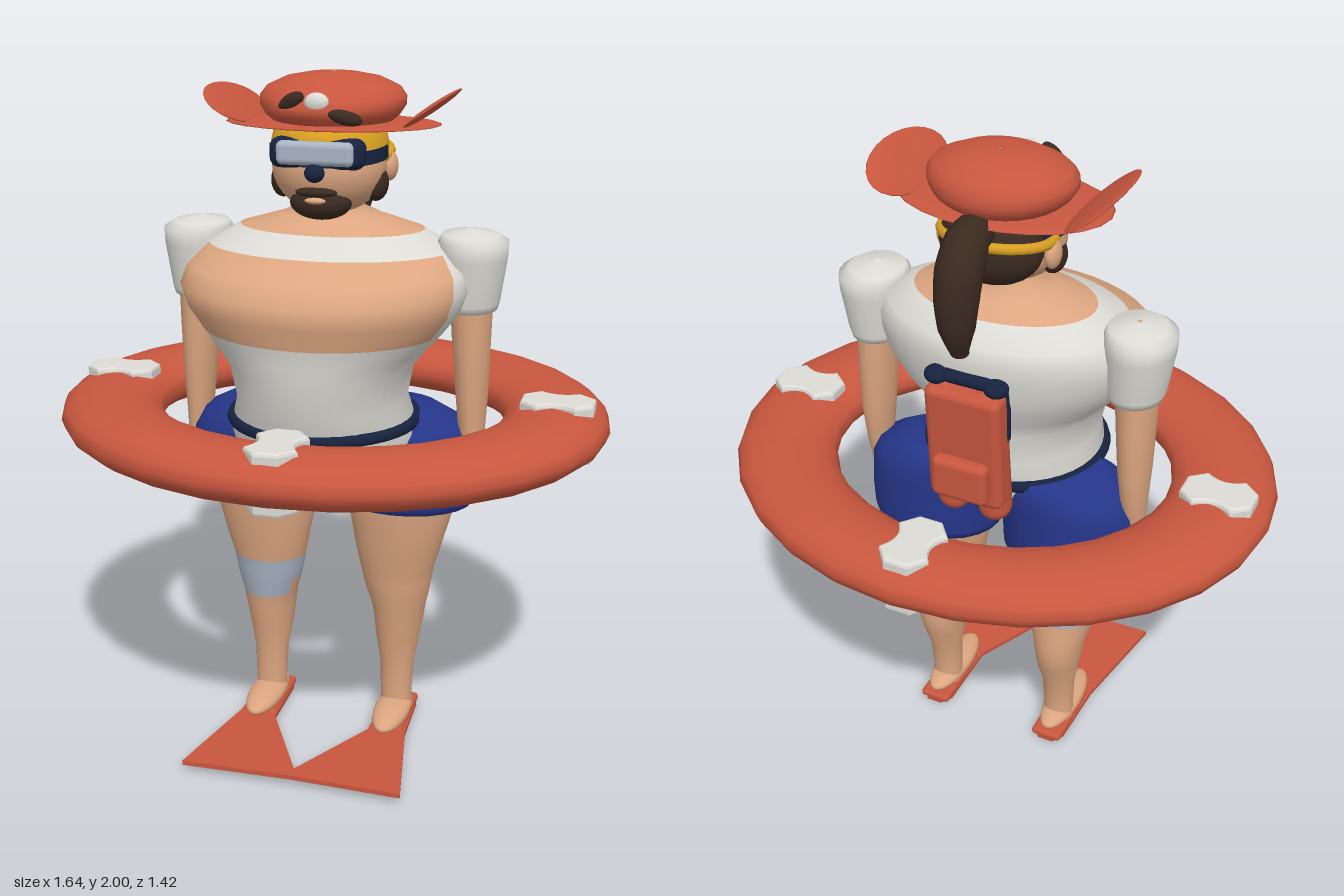
import * as THREE from 'three';
import { RoundedBoxGeometry } from 'three/addons/geometries/RoundedBoxGeometry.js';

const mat = (name, color, side = THREE.FrontSide) => {
  const m = new THREE.MeshStandardMaterial({ color, side });
  m.name = name;
  return m;
};

// Smooth body from elliptical sections [y, cx, rx, cz, rz], bottom to top.
// pick(y, angle) returns the material index of a face; angle 0 is the front.
function loft(sections, segs = 24, pick = () => 0, count = 1) {
  const pos = [], faces = Array.from({ length: count }, () => []);
  for (const [y, cx, rx, cz, rz] of sections)
    for (let j = 0; j < segs; j++) {
      const a = (j / segs) * Math.PI * 2;
      pos.push(cx + rx * Math.sin(a), y, cz + rz * Math.cos(a));
    }
  for (let i = 0; i < sections.length - 1; i++)
    for (let j = 0; j < segs; j++) {
      const k = (j + 1) % segs, a = i * segs + j, b = i * segs + k;
      let ang = ((j + 0.5) / segs) * 360;
      if (ang > 180) ang -= 360;
      const y = (sections[i][0] + sections[i + 1][0]) / 2;
      faces[pick(y, Math.abs(ang))].push(a, b, b + segs, a, b + segs, a + segs);
    }
  const g = new THREE.BufferGeometry();
  g.setAttribute('position', new THREE.Float32BufferAttribute(pos, 3));
  g.setIndex(faces.flat());
  let start = 0;
  faces.forEach((f, n) => { g.addGroup(start, f.length, n); start += f.length; });
  g.computeVertexNormals();
  return g;
}

export function createModel() {
  const root = new THREE.Group();
  const red = mat('coral red', 0xc8573f), skin = mat('skin', 0xdca680), white = mat('off white', 0xdcdbd5);
  const blue = mat('blue', 0x263689), navy = mat('navy', 0x17233f), brown = mat('dark brown', 0x3a2a20);
  const yellow = mat('yellow', 0xd9a022), lens = mat('grey blue', 0xa9b4c4);

  const add = (name, geo, m, p = [0, 0, 0], r = [0, 0, 0], s = [1, 1, 1]) => {
    const mesh = new THREE.Mesh(geo, m);
    mesh.name = name;
    mesh.position.set(...p);
    mesh.rotation.set(...r);
    mesh.scale.set(...s);
    root.add(mesh);
    return mesh;
  };
  const ball = (name, m, p, s, r) => add(name, new THREE.SphereGeometry(1, 24, 16), m, p, r, s);

  // Torso: blue underside, white shirt, bare chest band and neckline
  add('torso', loft([
    [0.775, 0, 0.01, 0.09, 0.01], [0.80, 0, 0.11, 0.09, 0.10], [0.85, 0, 0.20, 0.09, 0.17],
    [0.91, 0, 0.255, 0.09, 0.215], [1.0, 0, 0.275, 0.09, 0.255], [1.1, 0, 0.245, 0.11, 0.27],
    [1.2, 0, 0.265, 0.115, 0.28], [1.25, 0, 0.305, 0.11, 0.29], [1.30, 0, 0.35, 0.1, 0.305],
    [1.36, 0, 0.395, 0.1, 0.322], [1.42, 0, 0.415, 0.1, 0.33], [1.47, 0, 0.405, 0.07, 0.305],
    [1.52, 0, 0.36, 0.025, 0.25], [1.57, 0, 0.27, 0.01, 0.175], [1.605, 0, 0.15, 0.01, 0.115],
    [1.63, 0, 0.09, 0.01, 0.085], [1.7, 0, 0.085, 0.01, 0.08],
  ], 40, (y, a) => {
    if (y < 0.91) return 2;
    if (y > 1.57 || (y > 1.3 && y < 1.52 && a < 72)) return 1;
    return 0;
  }, 3), [white, skin, blue]);
  add('belt', new THREE.TorusGeometry(1, 0.06, 8, 40), navy, [0, 1.03, 0.095], [Math.PI / 2, 0, 0], [0.268, 0.262, 0.3]);

  for (const s of [-1, 1]) {
    // Sleeve, arm and tucked hand
    add('sleeve', loft([
      [1.35, s * 0.405, 0.02, 0, 0.02], [1.35, s * 0.405, 0.077, 0, 0.09], [1.37, s * 0.405, 0.084, 0, 0.095],
      [1.5, s * 0.41, 0.098, 0, 0.115], [1.545, s * 0.41, 0.1, 0, 0.115], [1.565, s * 0.4, 0.08, 0, 0.09],
      [1.578, s * 0.4, 0.01, 0, 0.01],
    ], 20), white);
    add('arm', loft([
      [0.80, s * 0.435, 0.005, 0.02, 0.005], [0.82, s * 0.435, 0.015, 0.02, 0.018], [0.88, s * 0.43, 0.022, 0.01, 0.035],
      [0.98, s * 0.42, 0.038, 0, 0.052], [1.1, s * 0.417, 0.047, -0.003, 0.07], [1.25, s * 0.412, 0.055, 0, 0.077],
      [1.4, s * 0.408, 0.062, 0, 0.08],
    ], 18), skin);

    // Leg, with a knee band on one side
    add('leg', loft([
      [0.04, s * 0.205, 0.05, -0.01, 0.05], [0.09, s * 0.205, 0.048, -0.006, 0.045], [0.2, s * 0.205, 0.052, -0.012, 0.053],
      [0.29, s * 0.205, 0.068, -0.02, 0.078], [0.35, s * 0.207, 0.076, -0.022, 0.09], [0.4, s * 0.207, 0.084, -0.018, 0.093],
      [0.45, s * 0.205, 0.098, -0.01, 0.095], [0.49, s * 0.204, 0.106, -0.006, 0.096], [0.53, s * 0.203, 0.113, -0.002, 0.097],
      [0.6, s * 0.206, 0.13, 0.003, 0.107], [0.75, s * 0.213, 0.165, -0.008, 0.142], [0.86, s * 0.213, 0.17, -0.008, 0.15],
    ], 24, (y, a) => (s < 0 && y < 0.53 && y > (a < 55 ? 0.4 : a < 100 ? 0.45 : 0.49) ? 1 : 0), 2), [skin, lens]);

    // Shorts leg with rolled hem
    add('shorts', loft([
      [0.81, s * 0.222, 0.17, 0, 0.14], [0.765, s * 0.222, 0.195, 0, 0.155], [0.757, s * 0.222, 0.205, 0, 0.165],
      [0.78, s * 0.222, 0.208, 0, 0.17], [0.86, s * 0.222, 0.212, 0, 0.17], [0.94, s * 0.216, 0.215, 0, 0.165],
      [1.0, s * 0.2, 0.2, -0.01, 0.155], [1.04, s * 0.17, 0.15, -0.01, 0.13], [1.045, s * 0.15, 0.01, 0, 0.01],
    ], 24), blue);

    // Bare foot on a flipper
    ball('foot', skin, [s * 0.205, 0.055, 0.04], [0.055, 0.032, 0.15]);
    const sole = new THREE.Shape([[0.155, -0.08], [0.18, -0.115], [0.23, -0.115], [0.255, -0.08], [0.265, 0.13],
      [0.33, 0.48], [0.165, 0.475], [0, 0.47], [0, 0.43], [0.15, 0.14]].map(([x, z]) => new THREE.Vector2(s * x, z)));
    const flipper = new THREE.ExtrudeGeometry(sole, { depth: 0.014, bevelEnabled: false });
    add('flipper', flipper, red, [0, 0.022, 0], [Math.PI / 2 - 0.035, 0, 0]);
    add('flipperHeel', new RoundedBoxGeometry(0.1, 0.025, 0.24, 3, 0.012), red, [s * 0.205, 0.022, 0.005]);

    // Side flaps of the hat
    ball('hatFlap', red, [s * 0.285, 1.907, 0], [0.088, 0.01, 0.19], [0, 0, s * 0.62]);
    // Ears and sideburns
    ball('ear', skin, [s * 0.16, 1.74, -0.03], [0.022, 0.042, 0.035]);
    ball('sideburn', brown, [s * 0.135, 1.7, 0.035], [0.035, 0.05, 0.048]);
  }

  // Swim ring
  add('swimRing', new THREE.TorusGeometry(0.665, 0.155, 16, 28), red, [0, 1.01, 0], [Math.PI / 2, 0, 0], [1, 0.866, 0.5]);
  const tie = new THREE.Shape();
  tie.moveTo(-0.03, -0.095);
  tie.lineTo(0.03, -0.095);
  tie.lineTo(0.063, -0.055);
  tie.quadraticCurveTo(0.025, 0, 0.063, 0.055);
  tie.lineTo(0.03, 0.095);
  tie.lineTo(-0.03, 0.095);
  tie.lineTo(-0.063, 0.055);
  tie.quadraticCurveTo(-0.025, 0, -0.063, -0.055);
  const patchGeo = new THREE.ExtrudeGeometry(tie, { depth: 0.025, bevelSize: 0.01, bevelThickness: 0.01, bevelSegments: 2, curveSegments: 8 });
  patchGeo.translate(0, 0, -0.0125);
  for (const [x, z, turn] of [[0, 0.555, 0], [0, -0.56, 0], [0.668, 0, Math.PI / 2], [-0.668, 0, Math.PI / 2]])
    for (const y of [1.077, 0.943]) add('ringPatch', patchGeo, white, [x, y, z], [Math.PI / 2, 0, turn]);

  // Head, hair and beard
  ball('head', skin, [0, 1.745, 0.04], [0.162, 0.135, 0.145]);
  ball('hair', brown, [0, 1.76, -0.075], [0.15, 0.115, 0.1]);
  ball('beard', brown, [0, 1.655, 0.125], [0.088, 0.048, 0.062]);
  ball('moustache', brown, [0, 1.69, 0.172], [0.06, 0.014, 0.02]);
  ball('lip', skin, [0, 1.668, 0.184], [0.03, 0.009, 0.012]);
  ball('nose', navy, [0, 1.745, 0.19], [0.028, 0.026, 0.025]);
  const tail = [[-0.14, 1.82, 0.045], [-0.2, 1.835, 0.06], [-0.255, 1.78, 0.065], [-0.28, 1.7, 0.06], [-0.283, 1.6, 0.05], [-0.27, 1.525, 0.025]];
  const path = new THREE.CatmullRomCurve3(tail.map(([z, y]) => new THREE.Vector3(0, y, z)));
  const tailGeo = new THREE.TubeGeometry(path, 15, 1, 12);
  const tp = tailGeo.attributes.position;
  for (let i = 0; i < tp.count; i++) {
    const t = Math.floor(i / 13) / 15, c = path.getPointAt(t);
    const f = t * 5, n = Math.min(4, Math.floor(f)), r = THREE.MathUtils.lerp(tail[n][2], tail[n + 1][2], f - n);
    const v = new THREE.Vector3().fromBufferAttribute(tp, i).sub(c).multiplyScalar(r).add(c);
    tp.setXYZ(i, v.x, v.y, v.z);
  }
  tailGeo.computeVertexNormals();
  add('ponytail', tailGeo, brown);
  ball('ponytailTip', brown, [0, 1.525, -0.27], [0.026, 0.012, 0.026]);

  // Goggles with strap and headband
  add('goggleFrame', new RoundedBoxGeometry(0.27, 0.085, 0.07, 3, 0.03), navy, [0, 1.795, 0.155]);
  add('goggleLens', new RoundedBoxGeometry(0.22, 0.066, 0.04, 3, 0.018), lens, [0, 1.797, 0.182]);
  add('goggleStrap', new THREE.CylinderGeometry(1, 1, 0.04, 32, 1, true), navy, [0, 1.79, 0.045], [0.08, 0, 0], [0.168, 1, 0.145]);
  add('headband', loft([[1.805, 0, 0.168, 0.03, 0.158], [1.84, 0, 0.16, 0.03, 0.155], [1.86, 0, 0.15, 0.02, 0.14]], 32), yellow);
  add('backStrap', new THREE.TorusGeometry(1, 0.09, 8, 32), yellow, [0, 1.775, -0.035], [Math.PI / 2 + 0.15, 0, 0], [0.157, 0.14, 0.17]);

  // Hat: brim, band, crown and face details
  ball('hatBrim', red, [0, 1.86, 0], [0.31, 0.011, 0.2]);
  add('hatCrown', loft([
    [1.86, 0, 0.16, 0, 0.15], [1.885, 0, 0.19, 0, 0.18], [1.91, 0, 0.207, 0, 0.185], [1.935, 0, 0.208, -0.005, 0.175],
    [1.96, 0, 0.19, -0.01, 0.155], [1.985, 0, 0.135, -0.012, 0.115], [1.997, 0, 0.07, -0.012, 0.06], [2.0, 0, 0.005, -0.012, 0.005],
  ], 28), red);
  ball('hatButton', white, [0, 1.93, 0.165], [0.035, 0.028, 0.02]);
  ball('hatSpot', brown, [-0.075, 1.93, 0.155], [0.045, 0.022, 0.02], [0, -0.35, 0.5]);
  ball('hatSpot', brown, [0.08, 1.893, 0.165], [0.048, 0.02, 0.02], [0, 0.35, -0.25]);

  // Backpack with two tanks, pocket and navy fittings
  for (const s of [-1, 1]) {
    add('tank', new THREE.CapsuleGeometry(0.05, 0.37, 6, 16), red, [s * 0.065, 1.175, -0.21], [-0.1, 0, 0]);
    ball('tankCap', navy, [s * 0.09, 1.415, -0.235], [0.036, 0.026, 0.034]);
    add('packStrap', new RoundedBoxGeometry(0.035, 0.2, 0.03, 2, 0.01), navy, [s * 0.1, 1.33, -0.205]);
  }
  add('packBar', new THREE.CapsuleGeometry(0.02, 0.12, 4, 12), navy, [0, 1.42, -0.235], [0, 0, Math.PI / 2]);
  add('backpack', new RoundedBoxGeometry(0.23, 0.38, 0.08, 3, 0.025), red, [0, 1.205, -0.232], [-0.06, 0, 0]);
  add('packPocket', new RoundedBoxGeometry(0.17, 0.13, 0.06, 3, 0.02), red, [0, 1.115, -0.275]);

  return root;
}
